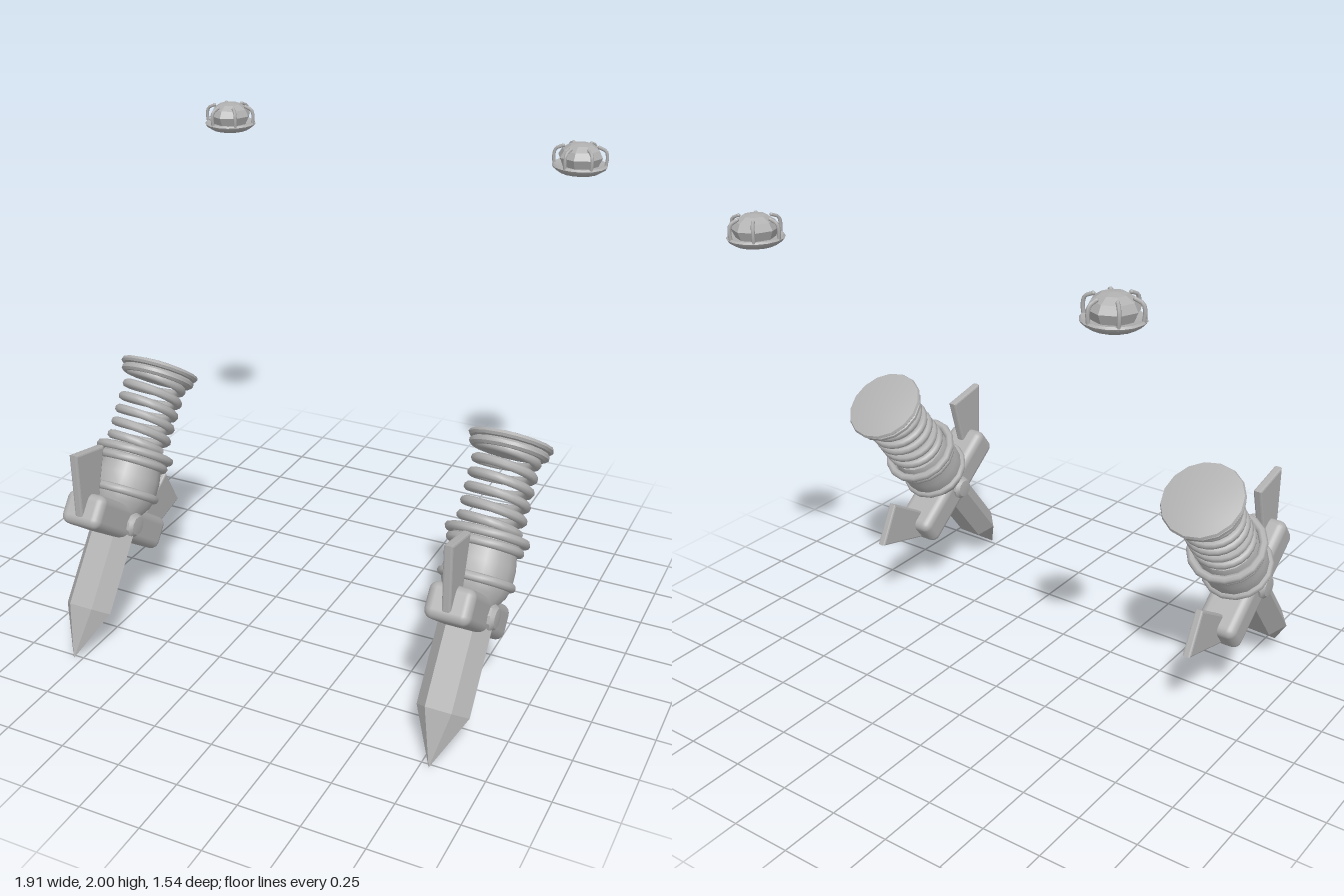
import * as THREE from 'three';
import { toCreasedNormals } from 'three/addons/utils/BufferGeometryUtils.js';
import { RoundedBoxGeometry } from 'three/addons/geometries/RoundedBoxGeometry.js';

const grey = new THREE.MeshStandardMaterial({ color: 0xb0b0b0 });
grey.name = 'grey metal';

function add(parent, name, geometry, x = 0, y = 0, z = 0) {
  const mesh = new THREE.Mesh(geometry, grey);
  mesh.name = name;
  mesh.position.set(x, y, z);
  parent.add(mesh);
  return mesh;
}

const flat = (geometry) => {
  const g = geometry.toNonIndexed();
  g.computeVertexNormals();
  return g;
};

// Turned part from [radius, height] pairs, bottom to top
const turned = (pairs, sides = 16) => toCreasedNormals(
  new THREE.LatheGeometry(pairs.map(([r, y]) => new THREE.Vector2(r, y)), sides), 0.6);

const ring = (radius, tube) =>
  new THREE.TorusGeometry(radius, tube, 8, 16).rotateX(Math.PI / 2);

// Built upright with its tip at the origin
function createDagger() {
  const dagger = new THREE.Group();
  dagger.name = 'dagger';

  // Six-sided blade, flattened front to back
  const blade = new THREE.Group();
  blade.name = 'blade';
  const shoulder = 0.21, hilt = 0.56;
  const side = Math.PI / 2;
  const depth = 0.72;
  add(blade, 'bladeTip', flat(new THREE.CylinderGeometry(0.105, 0, shoulder, 6, 1, true, side)
    .scale(1, 1, depth)), 0, shoulder / 2);
  add(blade, 'bladeBody', flat(new THREE.CylinderGeometry(0.105, 0.105, hilt - shoulder, 6, 1, false, side)
    .scale(1, 1, depth)), 0, (hilt + shoulder) / 2);
  dagger.add(blade);

  // Crossguard with a round boss on each side
  add(dagger, 'guard', new RoundedBoxGeometry(0.18, 0.14, 0.56, 3, 0.035), 0, 0.589, 0);
  for (const s of [-1, 1]) {
    const boss = add(dagger, 'guardBoss',
      turned([[0.052, 0], [0.052, 0.035], [0.04, 0.05], [0, 0.055]], 10), s * 0.065, 0.589, 0);
    boss.rotation.z = -s * Math.PI / 2;
  }

  // Flared fins at the guard ends
  const outline = new THREE.Shape([[0.275, 0.56], [0.44, 0.768], [0.281, 0.843], [0.207, 0.655], [0.2, 0.6]]
    .map(([t, y]) => new THREE.Vector2(t, y)));
  const fin = new THREE.ExtrudeGeometry(outline, {
    depth: 0.02, bevelEnabled: true, bevelThickness: 0.008, bevelSize: 0.008, bevelSegments: 2,
  }).translate(0, 0, -0.01).rotateY(-Math.PI / 2);
  for (const turn of [0, Math.PI]) add(dagger, 'fin', fin).rotation.y = turn;

  // Grip barrel and its collars
  add(dagger, 'grip', turned([[0, 0.62], [0.09, 0.62], [0.125, 0.67], [0.137, 0.71],
    [0.137, 0.78], [0.128, 0.83], [0.13, 0.88], [0.12, 0.905], [0, 0.915]]));
  add(dagger, 'lowerCollar', ring(0.135, 0.018), 0, 0.712, 0);
  add(dagger, 'middleCollar', ring(0.135, 0.018), 0, 0.845, 0);
  add(dagger, 'upperCollar', ring(0.149, 0.018), 0, 0.882, 0);

  // Coil spring
  const turns = 5.5, points = [];
  for (let i = 0; i <= turns * 16; i++) {
    const a = i / 16 * Math.PI * 2;
    points.push(new THREE.Vector3(Math.cos(a) * 0.115, 0.91 + 0.056 * i / 16, Math.sin(a) * 0.115));
  }
  add(dagger, 'spring', new THREE.TubeGeometry(new THREE.CatmullRomCurve3(points), 132, 0.019, 8));

  // Domed pommel cap
  add(dagger, 'pommel', turned([[0, 1.205], [0.145, 1.205], [0.157, 1.215], [0.157, 1.228], [0.146, 1.237],
    [0.16, 1.24], [0.168, 1.25], [0.163, 1.261], [0.12, 1.269], [0.06, 1.275], [0, 1.277]]));
  return dagger;
}

// Faceted stone in a pronged dish
function createGem() {
  const gem = new THREE.Group();
  gem.name = 'gem';
  add(gem, 'dish', turned([[0, 0], [0.05, 0.003], [0.08, 0.008], [0.104, 0.024], [0.11, 0.034],
    [0.103, 0.041], [0.088, 0.036], [0, 0.03]]));
  add(gem, 'stone', flat(new THREE.LatheGeometry([[0, 0.02], [0.07, 0.025], [0.09, 0.07], [0.075, 0.098],
    [0.045, 0.117], [0, 0.122]].map(([r, y]) => new THREE.Vector2(r, y)), 8)));
  const bend = new THREE.CatmullRomCurve3([[0.1, 0.03], [0.104, 0.07], [0.097, 0.095], [0.07, 0.108]]
    .map(([r, y]) => new THREE.Vector3(r, y, 0)));
  const prong = new THREE.TubeGeometry(bend, 8, 0.007, 6);
  for (let i = 0; i < 6; i++) {
    const a = 0.2 + i * Math.PI / 3;
    add(gem, 'prong', prong).rotation.y = a;
    add(gem, 'prongEnd', new THREE.SphereGeometry(0.0075, 8, 6), Math.cos(a) * 0.07, 0.108, -Math.sin(a) * 0.07);
  }
  return gem;
}

export function createModel() {
  const model = new THREE.Group();
  model.name = 'daggersAndGems';
  for (const x of [-0.785, 0.785]) {
    const dagger = createDagger();
    dagger.position.set(x, 0.005, 0.768);
    dagger.rotation.x = -0.65;
    model.add(dagger);

    const gem = createGem();
    gem.position.set(x, 1.88, -0.657);
    model.add(gem);
  }
  return model;
}
